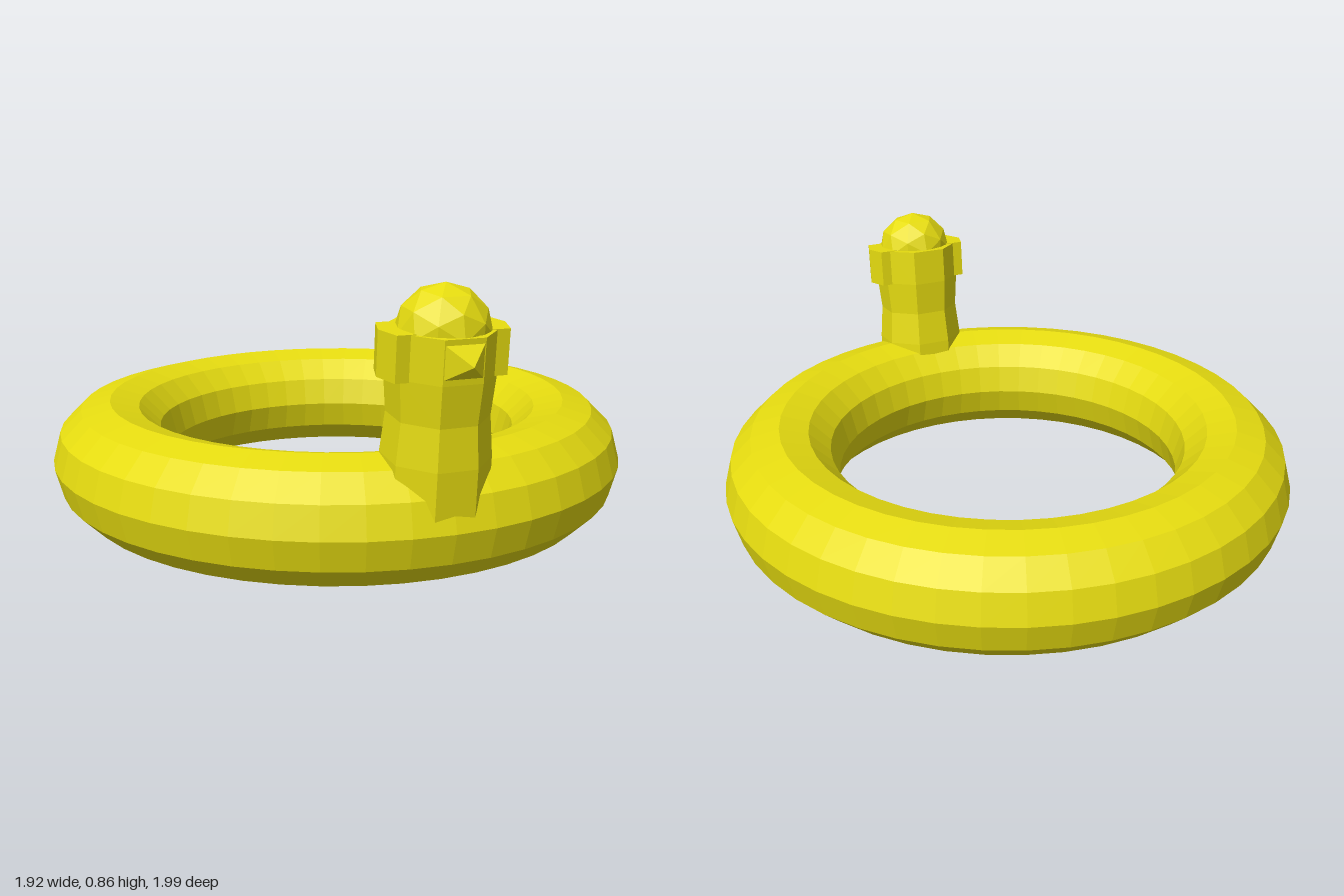
import * as THREE from 'three';

export function createModel() {
  const model = new THREE.Group();
  const yellow = new THREE.MeshStandardMaterial({ color: 0xe6dc10, flatShading: true });

  const add = (parent, name, geometry, x = 0, y = 0, z = 0) => {
    const mesh = new THREE.Mesh(geometry, yellow);
    mesh.name = name;
    mesh.position.set(x, y, z);
    parent.add(mesh);
    return mesh;
  };

  // Floating ring
  const ring = new THREE.TorusGeometry(0.77, 0.19, 12, 48);
  ring.rotateX(Math.PI / 2);
  add(model, 'ring', ring, 0, 0.192, -0.04);

  // Neck and head lean slightly forward
  const figure = new THREE.Group();
  figure.name = 'neckAndHead';
  figure.position.set(0, 0.38, 0.772);
  figure.rotation.x = 0.08;
  model.add(figure);

  // Eight-sided neck with a slim waist and a flat face at the front
  const profile = [[0, -0.2], [0.158, -0.2], [0.157, 0], [0.145, 0.12], [0.155, 0.24], [0.155, 0.365], [0, 0.365]]
    .map(([r, y]) => new THREE.Vector2(r, y));
  add(figure, 'neck', new THREE.LatheGeometry(profile, 8, Math.PI / 8));

  // Faceted crown
  add(figure, 'crown', new THREE.IcosahedronGeometry(0.135, 1), 0, 0.352, 0.007);

  // Four-sided beak
  const beak = new THREE.ConeGeometry(0.108, 0.075, 4);
  beak.rotateY(Math.PI / 4);
  beak.rotateX(Math.PI / 2);
  beak.scale(1, 0.82, 1);
  add(figure, 'beak', beak, 0, 0.303, 0.161);

  // Side lugs, wedge-shaped in plan
  for (const side of [1, -1]) {
    const plan = new THREE.Shape(
      [[0.1, -0.075], [0.165, -0.075], [0.188, 0], [0.165, 0.075], [0.1, 0.075]]
        .map(([x, z]) => new THREE.Vector2(x * side, z)));
    const lug = new THREE.ExtrudeGeometry(plan, { depth: 0.13, bevelEnabled: false });
    lug.rotateX(-Math.PI / 2);
    add(figure, side > 0 ? 'leftLug' : 'rightLug', lug, 0, 0.237, 0.002);
  }

  return model;
}
